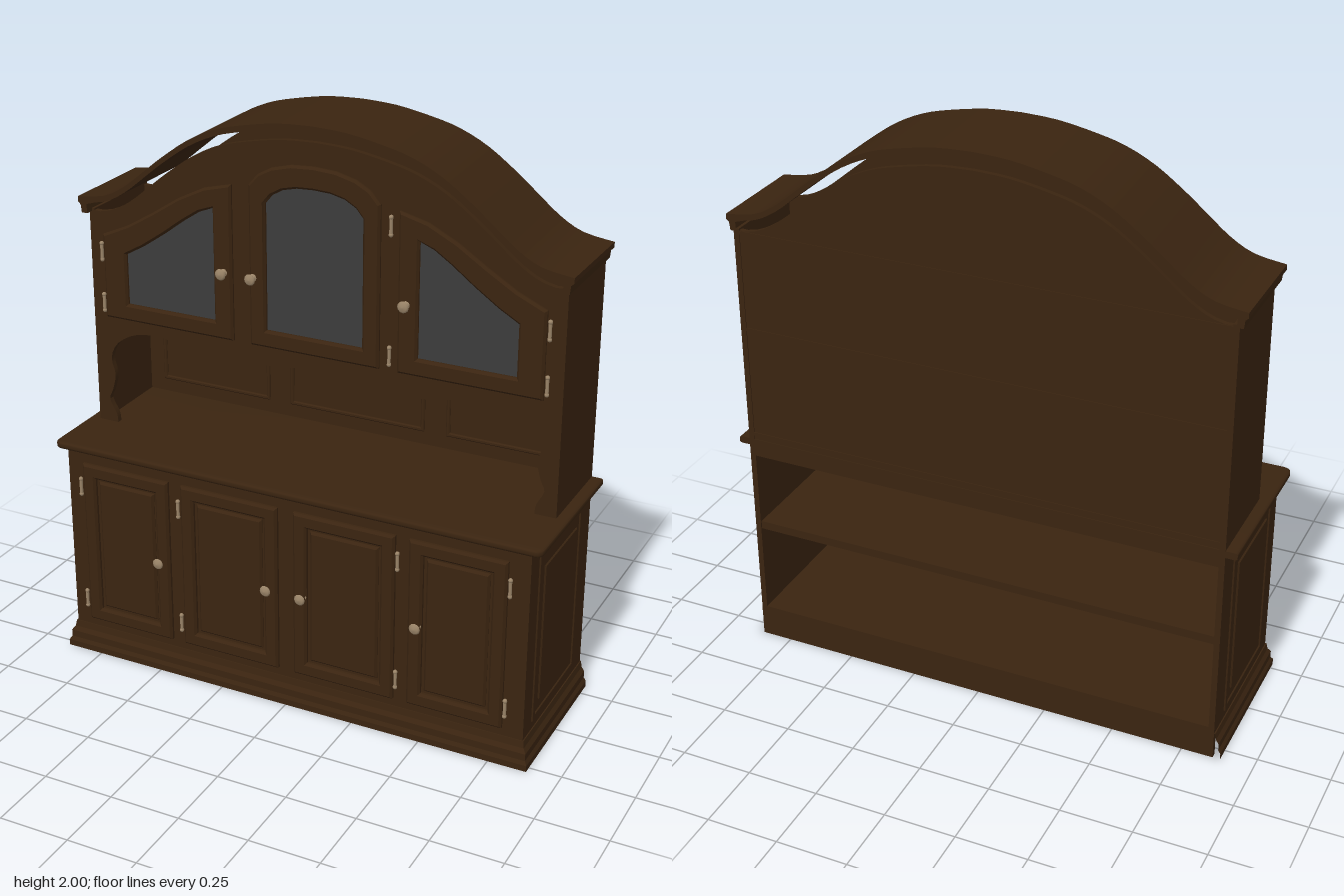
import * as THREE from 'three';
import { toCreasedNormals } from 'three/addons/utils/BufferGeometryUtils.js';

const wood = new THREE.MeshStandardMaterial({ color: 0x3a2410 });
wood.name = 'dark wood';
const glass = new THREE.MeshStandardMaterial({ color: 0x3c3c3c });
glass.name = 'grey glass';
const metal = new THREE.MeshStandardMaterial({ color: 0x9a8468 });
metal.name = 'aged brass';

const BACK = -0.3;
const V = ([x, y]) => new THREE.Vector2(x, y);
const rect = (x0, x1, y0, y1) => [[x0, y0], [x1, y0], [x1, y1], [x0, y1]];
const mirror = (pts) => pts.map(([x, y]) => [-x, y]).reverse();
// half outline starting at x = 0 -> full outline running from +x to -x
const both = (half) => [...half.slice(1).reverse(), ...half, ].length
  ? [...half.slice().reverse(), ...mirror(half).reverse().slice(1)] : [];
const smooth = (pts, n) => new THREE.SplineCurve(pts.map(V)).getPoints(n).map((p) => [p.x, p.y]);

export function createModel() {
  const root = new THREE.Group();
  root.name = 'dresser';

  const add = (name, geo, mat = wood, parent = root) => {
    const m = new THREE.Mesh(geo, mat);
    m.name = name;
    parent.add(m);
    return m;
  };
  const box = (name, x0, x1, y0, y1, z0, z1, parent) => {
    const g = new THREE.BoxGeometry(x1 - x0, y1 - y0, z1 - z0);
    g.translate((x0 + x1) / 2, (y0 + y1) / 2, (z0 + z1) / 2);
    return add(name, g, wood, parent);
  };
  // outline in x/y extruded from z0 to z1, with an optional bevel
  const slabGeo = (pts, holes, z0, z1, b = 0) => {
    const s = new THREE.Shape(pts.map(V));
    s.holes = holes.map((h) => new THREE.Path(h.map(V)));
    const g = new THREE.ExtrudeGeometry(s, {
      depth: z1 - z0 - 2 * b, bevelEnabled: b > 0, bevelThickness: b,
      bevelSize: b, bevelOffset: -b, bevelSegments: 1, curveSegments: 8,
    });
    g.translate(0, 0, z0 + b);
    return toCreasedNormals(g, 0.5);
  };
  const slab = (name, pts, holes, z0, z1, b, parent = root, mat = wood) =>
    add(name, slabGeo(pts, holes, z0, z1, b), mat, parent);

  // closed profile of [outward offset, y] swept round the left, front and right sides
  const sweep = (name, X, Z, profile) => {
    const pos = [];
    const at = ([o, y], i) => [
      [-(X + o), y, BACK], [-(X + o), y, Z + o], [X + o, y, Z + o], [X + o, y, BACK]][i];
    profile.forEach((p, k) => {
      const q = profile[(k + 1) % profile.length];
      for (let i = 0; i < 3; i++) {
        const a = at(p, i), b = at(p, i + 1), c = at(q, i + 1), d = at(q, i);
        pos.push(...a, ...b, ...c, ...a, ...c, ...d);
      }
    });
    const g = new THREE.BufferGeometry();
    g.setAttribute('position', new THREE.Float32BufferAttribute(pos, 3));
    g.computeVertexNormals();
    return add(name, g);
  };

  // Hardware
  const knobGeo = new THREE.LatheGeometry(
    [[0.014, 0], [0.013, 0.003], [0.005, 0.006], [0.005, 0.016], [0.017, 0.02], [0.02, 0.025], [0.014, 0.031], [0, 0.033]].map(V), 12);
  knobGeo.rotateX(Math.PI / 2);
  const knob = (x, y, z) => add('knob', knobGeo, metal).position.set(x, y, z);
  const hinge = (x, y, z) => {
    const g = new THREE.Group();
    g.name = 'hinge';
    add('hingePin', new THREE.CylinderGeometry(0.006, 0.006, 0.05, 8), metal, g);
    for (const s of [-1, 1]) {
      add('hingeTip', new THREE.SphereGeometry(0.008, 8, 6), metal, g).position.y = s * 0.029;
    }
    g.position.set(x, y, z);
    root.add(g);
  };

  // Plinth with a stepped moulding, open underneath
  sweep('plinth', 0.86, 0.25, [[0.026, 0], [0.026, 0.022], [0.018, 0.035], [0.018, 0.06],
    [0.008, 0.075], [0.004, 0.098], [-0.02, 0.098], [-0.02, 0]]);
  box('plinthBackRail', -0.86, 0.86, 0, 0.12, BACK, BACK + 0.02);

  // Base cabinet, open at the back
  for (const s of [-1, 1]) {
    const a = s * 0.84, b = s * 0.86;
    box('baseSide', Math.min(a, b), Math.max(a, b), 0.09, 0.79, BACK, 0.25);
    const g = new THREE.Group();
    g.name = 'sidePanel';
    slab('sideFrame', rect(-0.21, 0.18, 0.13, 0.75), [rect(-0.19, 0.16, 0.15, 0.73)], 0, 0.006, 0.002, g);
    slab('sideField', rect(-0.16, 0.13, 0.19, 0.69), [], 0, 0.007, 0.003, g);
    // turn the panel outward; local x follows model z
    g.children.forEach((m) => {
      if (s > 0) m.geometry.scale(-1, 1, 1).index;
      if (s > 0) {
        const p = m.geometry.attributes.position, n = m.geometry.attributes.normal;
        for (const at of [p, n]) {
          for (let i = 0; i < at.count; i += 3) {
            const t = [at.getX(i), at.getY(i), at.getZ(i)];
            at.setXYZ(i, at.getX(i + 1), at.getY(i + 1), at.getZ(i + 1));
            at.setXYZ(i + 1, ...t);
          }
        }
      }
    });
    g.rotation.y = s * Math.PI / 2;
    g.position.x = s * 0.86;
    root.add(g);
  }
  box('baseFront', -0.84, 0.84, 0.09, 0.79, 0.23, 0.25);
  box('baseFloor', -0.84, 0.84, 0.1, 0.12, BACK + 0.005, 0.23);
  box('baseShelf', -0.84, 0.84, 0.45, 0.48, BACK + 0.005, 0.23);
  box('baseTopRail', -0.84, 0.84, 0.75, 0.79, BACK, BACK + 0.02);

  // Base doors, hinges and knobs
  for (const [x0, x1] of [[-0.79, -0.45], [-0.4, -0.03], [0.03, 0.4], [0.45, 0.79]]) {
    const g = new THREE.Group();
    g.name = 'baseDoor';
    root.add(g);
    slab('doorFrame', rect(x0, x1, 0.135, 0.75), [rect(x0 + 0.05, x1 - 0.05, 0.185, 0.7)], 0.25, 0.275, 0.008, g);
    slab('doorPanel', rect(x0 + 0.06, x1 - 0.06, 0.195, 0.69), [], 0.25, 0.268, 0.008, g);
  }
  for (const x of [-0.485, -0.065, 0.065, 0.485]) knob(x, 0.44, 0.268);
  for (const x of [-0.8, -0.41, 0.41, 0.8]) for (const y of [0.215, 0.66]) hinge(x, y, 0.27);

  // Countertop with rounded front corners and edge, cut straight at the back
  const R = 0.03, ct = new THREE.Shape();
  ct.moveTo(-0.9, 0.32);
  ct.lineTo(-0.9, -0.275 + R);
  ct.quadraticCurveTo(-0.9, -0.275, -0.9 + R, -0.275);
  ct.lineTo(0.9 - R, -0.275);
  ct.quadraticCurveTo(0.9, -0.275, 0.9, -0.275 + R);
  ct.lineTo(0.9, 0.32);
  const top = new THREE.ExtrudeGeometry(ct, {
    depth: 0.009, bevelThickness: 0.008, bevelSize: 0.008, bevelOffset: -0.008, bevelSegments: 3, curveSegments: 6 });
  top.rotateX(-Math.PI / 2).translate(0, 0.798, 0);
  const tp = top.attributes.position;
  for (let i = 0; i < tp.count; i++) tp.setZ(i, Math.max(tp.getZ(i), BACK));
  add('countertop', toCreasedNormals(top, 0.6));

  // Upper cabinet: arched front with the scalloped niche opening, and arched back
  const crest = smooth([[0, 2], [0.12, 1.994], [0.25, 1.971], [0.35, 1.944], [0.45, 1.896], [0.55, 1.825],
    [0.62, 1.768], [0.7, 1.704], [0.78, 1.662], [0.885, 1.645]], 27);
  const arch = [...crest.filter(([x]) => x < 0.82).map(([x, y]) => [x, y - 0.061]), [0.86, 1.595]];
  const niche = smooth([[0, 1.165], [0.15, 1.15], [0.3, 1.135], [0.42, 1.142], [0.58, 1.17], [0.69, 1.165],
    [0.77, 1.12], [0.8, 1.06], [0.787, 1], [0.8, 0.94], [0.815, 0.9], [0.79, 0.85], [0.785, 0.815]], 36);
  slab('archedFront', [[0.86, 0.815], ...both(arch), [-0.86, 0.815], ...both(niche).reverse()], [], 0.02, 0.04, 0);
  slab('archedBack', [[0.86, 0.815], ...both(arch), [-0.86, 0.815]], [], BACK + 0.003, BACK + 0.02, 0);
  for (const y of [0.83, 1.23, 1.58]) box('backBatten', -0.86, 0.86, y, y + 0.012, BACK, BACK + 0.01);
  box('upperSideLeft', 0.84, 0.86, 0.815, 1.6, BACK, 0.04);
  box('upperSideRight', -0.86, -0.84, 0.815, 1.6, BACK, 0.04);
  box('nicheCeiling', -0.84, 0.84, 1.19, 1.21, BACK + 0.02, 0.02);

  // Framed panels on the niche wall
  for (const [x0, x1] of [[-0.78, -0.34], [-0.26, 0.26], [0.34, 0.78]]) {
    slab('nicheMoulding', rect(x0, x1, 0.865, 1.13), [rect(x0 + 0.015, x1 - 0.015, 0.88, 1.115)], BACK + 0.02, BACK + 0.03, 0.004);
  }

  // Curved canopy floating above the arch, with moulded ends
  const endHook = [[0.885, 1.627], [0.875, 1.618], [0.872, 1.59], [0.85, 1.59], [0.852, 1.622]];
  const under = crest.filter(([x]) => x < 0.83).map(([x, y]) => [x, y - 0.021]);
  slab('canopy', [...both([...crest, ...endHook]), ...both(under).reverse()], [], BACK, 0.07, 0);

  // Glazed doors: frame, inner bead and pane
  const glazed = (outer, pane) => {
    const g = new THREE.Group();
    g.name = 'glazedDoor';
    root.add(g);
    slab('glazedFrame', outer, [pane], 0.04, 0.062, 0.008, g);
    slab('pane', pane, [], 0.041, 0.047, 0, g, glass);
  };
  const sideOuter = [[0.3, 1.22], [0.8, 1.22], [0.8, 1.52], [0.7, 1.565], [0.6, 1.625], [0.5, 1.69], [0.4, 1.74], [0.3, 1.765]];
  const sidePane = [[0.37, 1.28], [0.71, 1.28], [0.71, 1.46], [0.64, 1.5], [0.56, 1.555], [0.48, 1.615], [0.42, 1.655], [0.37, 1.675]];
  glazed(sideOuter, sidePane);
  glazed(mirror(sideOuter), mirror(sidePane));
  const midOuter = both([[0, 1.865], [0.08, 1.86], [0.15, 1.842], [0.2, 1.815], [0.235, 1.775], [0.235, 1.22]]);
  const midPane = both([[0, 1.788], [0.06, 1.785], [0.11, 1.773], [0.15, 1.75], [0.175, 1.72], [0.175, 1.28]]);
  glazed(midOuter, midPane);
  for (const x of [-0.33, -0.22, 0.33]) knob(x, 1.46, 0.06);
  for (const [x, ys] of [[-0.81, [1.27, 1.455]], [0.81, [1.27, 1.455]], [0.27, [1.27, 1.71]]]) {
    for (const y of ys) hinge(x, y, 0.052);
  }
  return root;
}
